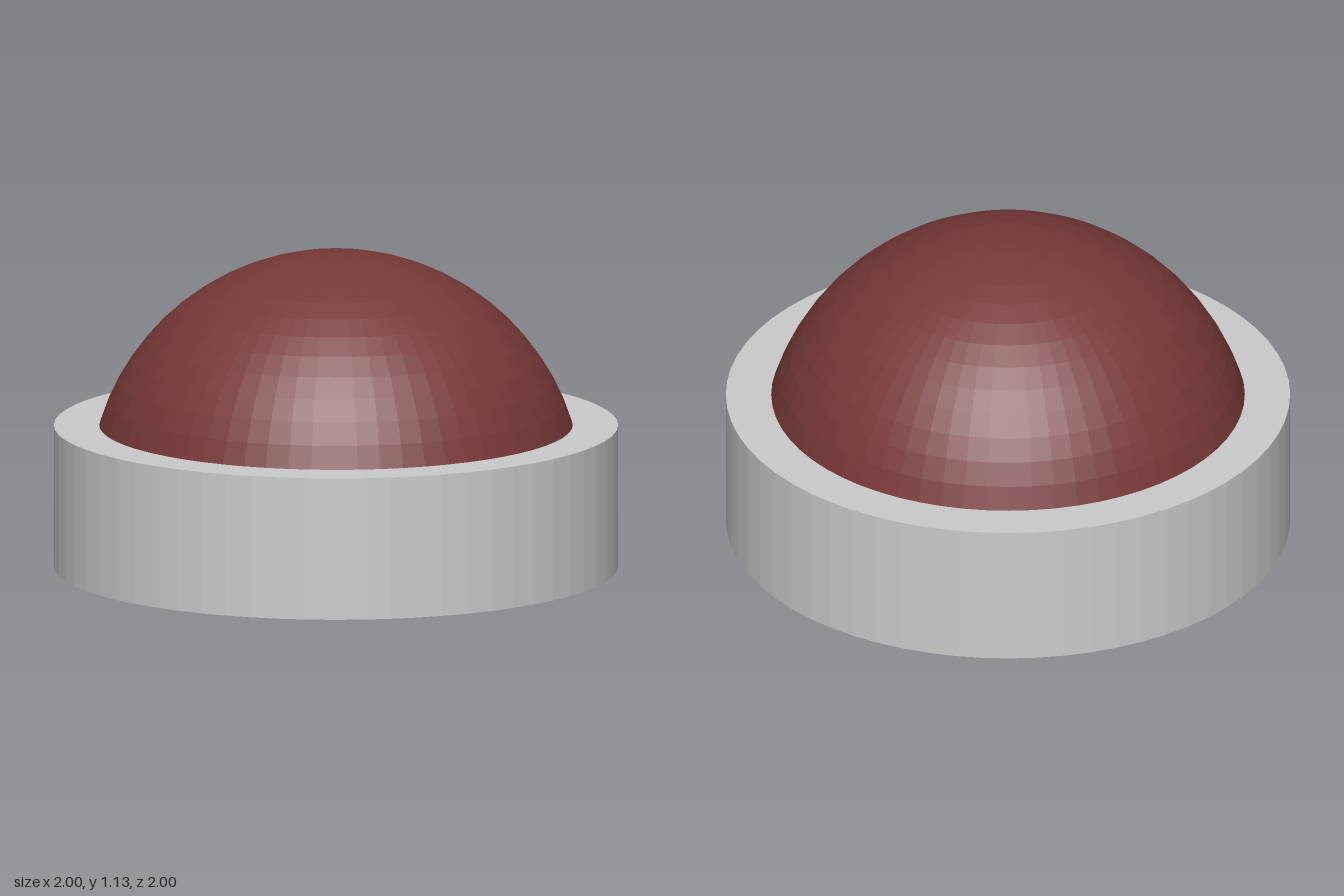
import * as THREE from 'three';

const SIDES = 64;
const BASE_HEIGHT = 0.51;
const DOME_RADIUS = 0.877;

export function createModel() {
  const group = new THREE.Group();
  group.name = 'domeButton';

  // Round base, standing on the ground
  const base = new THREE.Mesh(
    new THREE.CylinderGeometry(1, 1, BASE_HEIGHT, SIDES),
    new THREE.MeshStandardMaterial({ color: 0xcccccc, flatShading: true })
  );
  base.name = 'base';
  base.position.y = BASE_HEIGHT / 2;
  group.add(base);

  // Hemisphere rising from the middle of the base
  const dome = new THREE.Mesh(
    new THREE.SphereGeometry(DOME_RADIUS, SIDES, SIDES / 4, 0, Math.PI * 2, 0, Math.PI / 2),
    new THREE.MeshStandardMaterial({ color: 0x773838, flatShading: true })
  );
  dome.name = 'dome';
  dome.position.y = BASE_HEIGHT / 2;
  group.add(dome);

  return group;
}
